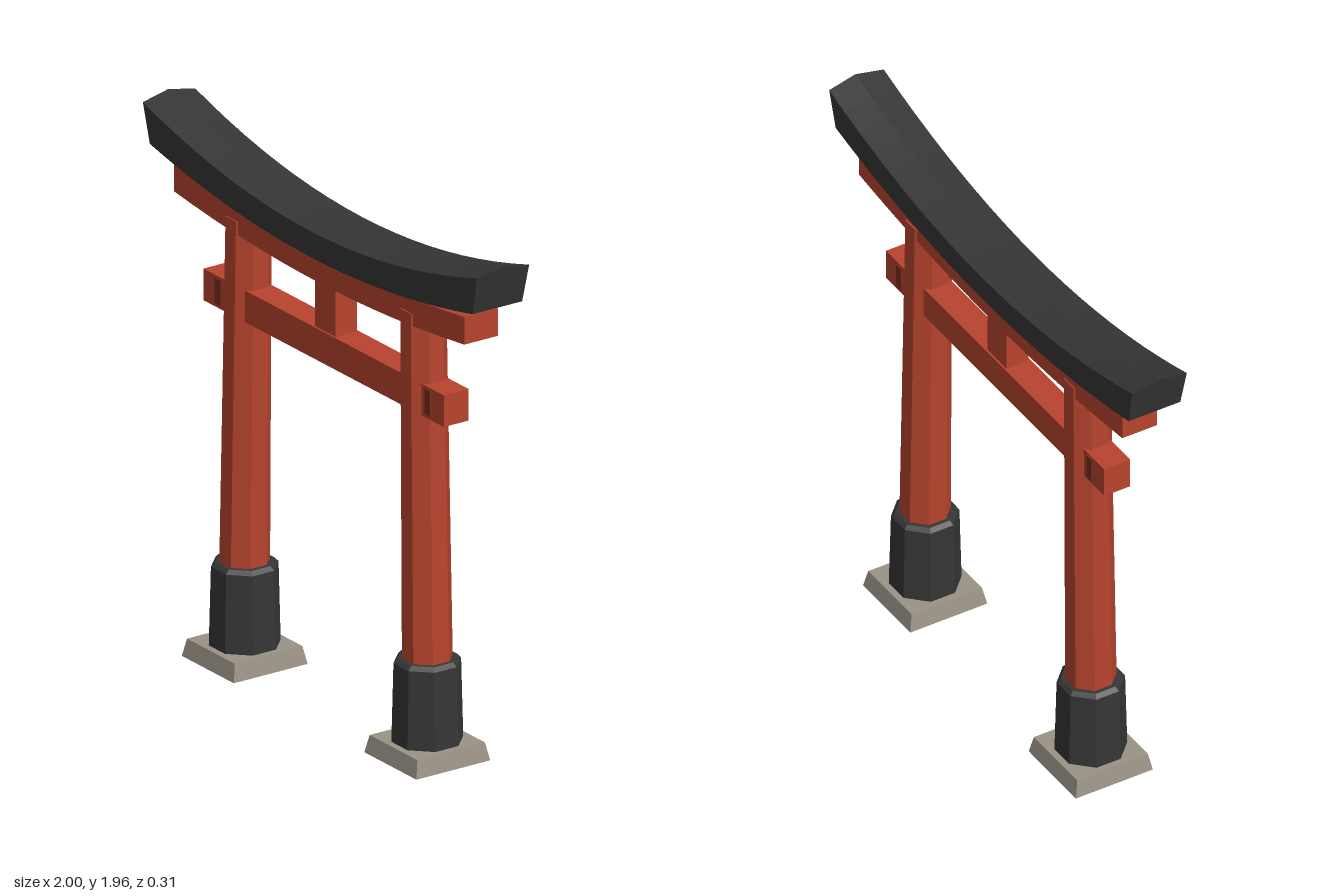
import * as THREE from 'three';

const mat = (name, color) => {
  const m = new THREE.MeshStandardMaterial({ color });
  m.name = name;
  return m;
};

// One normal per face, for crisp facets
function faceted(geometry) {
  const g = geometry.index ? geometry.toNonIndexed() : geometry;
  g.computeVertexNormals();
  return g;
}

// Regular prism with flat sides facing the axes; sizes are centre-to-side
function prism(sides, top, bottom, y0, y1) {
  const k = 1 / Math.cos(Math.PI / sides);
  const g = new THREE.CylinderGeometry(top * k, bottom * k, y1 - y0, sides);
  g.rotateY(Math.PI / sides);
  g.translate(0, (y0 + y1) / 2, 0);
  return faceted(g);
}

// Beam along x from a (z, y) section, bent by rule(u, y) => [x, y], u in -1..1
function bentBeam(section, steps, rule) {
  const shape = new THREE.Shape(section.map(([z, y]) => new THREE.Vector2(z, y)));
  const g = new THREE.ExtrudeGeometry(shape, { depth: 2, steps, bevelEnabled: false });
  g.translate(0, 0, -1);
  g.rotateY(Math.PI / 2);
  const p = g.attributes.position;
  for (let i = 0; i < p.count; i++) {
    const [x, y] = rule(p.getX(i), p.getY(i));
    p.setXY(i, x, y);
  }
  return faceted(g);
}

export function createModel() {
  const red = mat('vermilion paint', 0xb8442e);
  const darkRed = mat('dark red wood', 0x7c2c1f);
  const black = mat('black lacquer', 0x363636);
  const stone = mat('stone', 0x9a9285);

  const gate = new THREE.Group();
  gate.name = 'gate';
  const add = (name, geometry, material, x = 0, y = 0, z = 0, parent = gate) => {
    const m = new THREE.Mesh(geometry, material);
    m.name = name;
    m.position.set(x, y, z);
    parent.add(m);
    return m;
  };

  // Legs: plinth, sleeve and inward-leaning pillar
  for (const side of [1, -1]) {
    const leg = new THREE.Group();
    leg.name = side > 0 ? 'leftLeg' : 'rightLeg';
    leg.position.x = side * 0.543;
    gate.add(leg);

    add('plinth', prism(4, 0.142, 0.155, 0, 0.065), stone, 0, 0, 0, leg);
    add('sleeve', prism(8, 0.11, 0.117, 0.06, 0.355), black, 0, 0, 0, leg);
    add('sleeveRim', prism(8, 0.097, 0.11, 0.355, 0.37), black, 0, 0, 0, leg);

    const y0 = 0.3, y1 = 1.655;
    const pillar = prism(8, 0.075, 0.083, y0, y1);
    const lean = new THREE.Matrix4().makeShear(0, 0, -side * 0.018, 0, 0, 0);
    const p = pillar.attributes.position;
    lean.identity();
    for (let i = 0; i < p.count; i++) {
      p.setX(i, p.getX(i) - side * 0.018 * (p.getY(i) - 0.37));
    }
    add('pillar', faceted(pillar), red, 0, 0, 0, leg);

    // Wedge through the tie beam outside the pillar
    add('wedge', new THREE.BoxGeometry(0.033, 0.095, 0.114), darkRed, side * 0.624, 1.347, 0);
  }

  // Tie beam and central strut
  add('tieBeam', new THREE.BoxGeometry(1.43, 0.117, 0.104), red, 0, 1.344, 0);
  add('centreStrut', new THREE.BoxGeometry(0.124, 0.22, 0.09), red, 0, 1.505, 0);

  // Curved lower lintel with upright ends
  add('lowerLintel', bentBeam(
    [[-0.07, 0], [0.07, 0], [0.07, 0.102], [-0.07, 0.102]], 16,
    (u, y) => [u * 0.863, 1.588 + y + 0.055 * u * u]), red);

  // Curved ridged top lintel with flared ends
  add('topLintel', bentBeam(
    [[-0.104, 0], [0.104, 0], [0.11, 0.1], [0, 0.12], [-0.11, 0.1]], 20,
    (u, y) => {
      const h = Math.min(1, y / 0.12);
      return [u * (0.96 + 0.04 * h), 1.69 + y + (0.105 + 0.045 * Math.min(1, y / 0.1)) * u * u];
    }), black);

  return gate;
}
